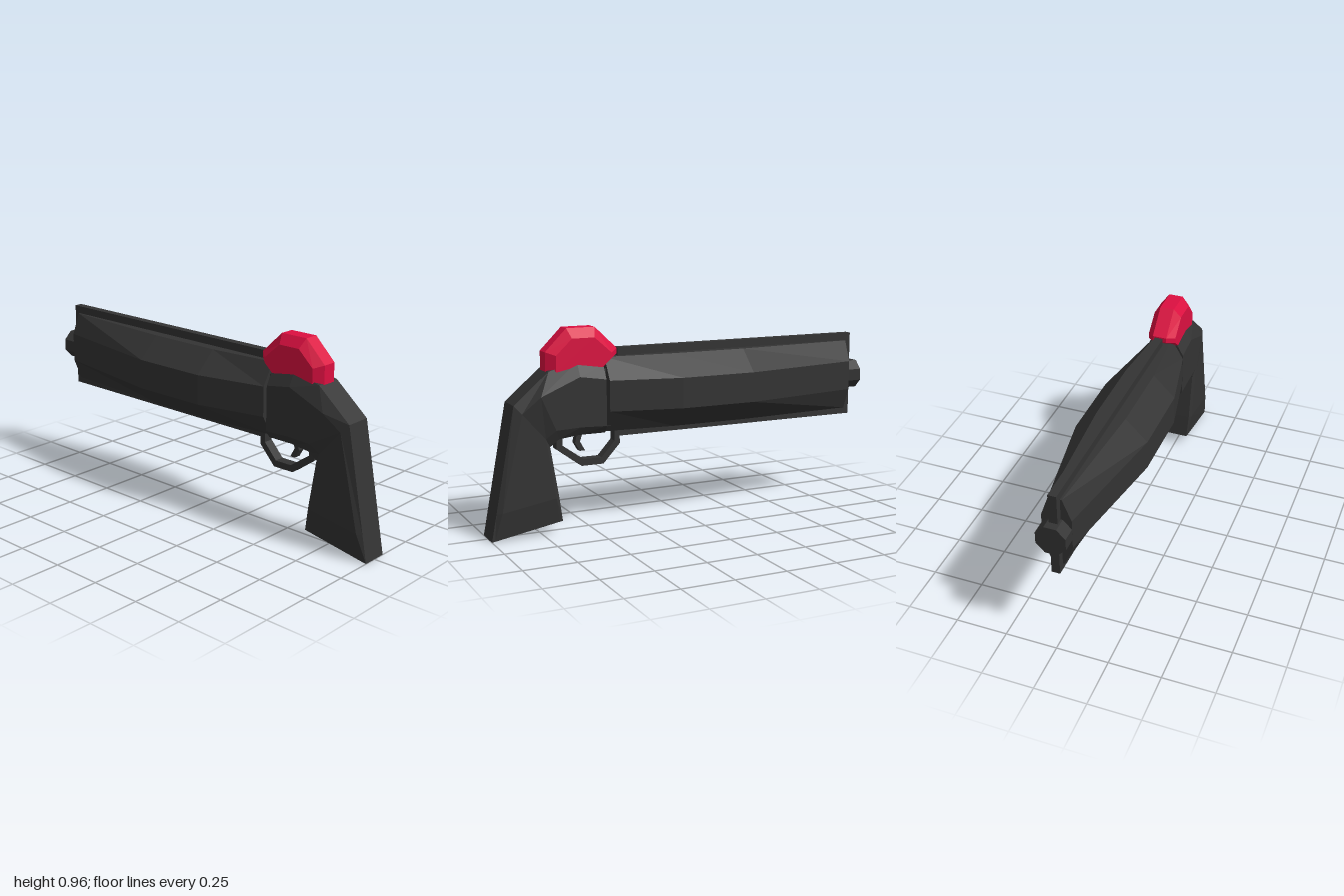
import * as THREE from 'three';

// Closed flat-shaded loft through convex rings of [x, y, z]; flips itself outward if needed
function loft(rings) {
  const n = rings[0].length, tris = [];
  for (let i = 0; i < rings.length - 1; i++) {
    for (let j = 0; j < n; j++) {
      const k = (j + 1) % n, a = rings[i], b = rings[i + 1];
      tris.push([a[j], a[k], b[k]], [a[j], b[k], b[j]]);
    }
  }
  const first = rings[0], last = rings[rings.length - 1];
  for (let j = 1; j < n - 1; j++) {
    tris.push([first[0], first[j + 1], first[j]], [last[0], last[j], last[j + 1]]);
  }
  const v = (p) => new THREE.Vector3(...p);
  let volume = 0;
  for (const [a, b, c] of tris) volume += v(a).dot(v(b).cross(v(c)));
  if (volume < 0) tris.forEach((t) => t.reverse());
  const geo = new THREE.BufferGeometry();
  geo.setAttribute('position', new THREE.Float32BufferAttribute(tris.flat(2), 3));
  geo.computeVertexNormals();
  return geo;
}

// Extrudes a [z, y] outline across x, centred on the middle plane
function sidePlate(outline, width, hole) {
  const points = (list) => list.map(([z, y]) => new THREE.Vector2(-z, y));
  const shape = new THREE.Shape(points(outline));
  if (hole) shape.holes.push(new THREE.Path(points(hole)));
  const geo = new THREE.ExtrudeGeometry(shape, { depth: width, bevelEnabled: false });
  geo.translate(0, 0, -width / 2);
  geo.rotateY(Math.PI / 2);
  return geo;
}

export function createModel() {
  const group = new THREE.Group();
  const dark = new THREE.MeshStandardMaterial({ color: 0x333333, flatShading: true });
  dark.name = 'charcoal';
  const red = new THREE.MeshStandardMaterial({ color: 0xdc0f40, flatShading: true });
  red.name = 'crimson';
  const add = (name, geo, mat = dark) => {
    const mesh = new THREE.Mesh(geo, mat);
    mesh.name = name;
    group.add(mesh);
    return mesh;
  };
  const box = (name, w, y0, y1, z0, z1) =>
    add(name, new THREE.BoxGeometry(w, y1 - y0, z1 - z0)).position.set(0, (y0 + y1) / 2, (z0 + z1) / 2);

  // Barrel shroud: octagon that swells and tapers in width only
  const shroud = [[0.425, 0.104], [0.08, 0.177], [-0.3, 0.177], [-0.93, 0.07]].map(([z, w]) => {
    const t = w * 0.4;
    return [
      [t, 0.817, z], [w, 0.713, z], [w, 0.567, z], [t, 0.463, z],
      [-t, 0.463, z], [-w, 0.567, z], [-w, 0.713, z], [-t, 0.817, z],
    ];
  });
  add('barrelShroud', loft(shroud));

  // Thin rib above and below the barrel, and the hidden joint behind it
  box('barrelRib', 0.04, 0.43, 0.855, -0.963, 0.35);
  box('joint', 0.12, 0.49, 0.765, 0.38, 0.48);

  // Octagonal muzzle
  const muzzle = new THREE.CylinderGeometry(0.0755, 0.0755, 0.075, 8);
  muzzle.rotateY(Math.PI / 8).rotateX(Math.PI / 2);
  add('muzzle', muzzle).position.set(0, 0.64, -0.9625);

  // Receiver curving down into the grip: back, upper, lower and inner corners as [z, y, half width]
  const sections = [
    [[0.44, 0.785, 0.063], [0.44, 0.72, 0.1], [0.44, 0.5, 0.1], [0.44, 0.465, 0.075]],
    [[0.57, 0.805, 0.063], [0.57, 0.74, 0.1], [0.57, 0.505, 0.1], [0.57, 0.465, 0.075]],
    [[0.71, 0.77, 0.065], [0.76, 0.66, 0.1], [0.69, 0.5, 0.1], [0.67, 0.455, 0.08]],
    [[0.88, 0.625, 0.065], [0.845, 0.585, 0.08], [0.735, 0.46, 0.08], [0.712, 0.42, 0.07]],
    [[0.975, 0.13, 0.065], [0.95, 0.134, 0.08], [0.69, 0.176, 0.08], [0.673, 0.18, 0.07]],
    [[1, 0, 0.065], [0.985, 0.003, 0.066], [0.675, 0.057, 0.066], [0.655, 0.06, 0.065]],
  ];
  add('receiverAndGrip', loft(sections.map((s) => [
    ...s.map(([z, y, w]) => [w, y, z]),
    ...s.map(([z, y, w]) => [-w, y, z]).reverse(),
  ])));

  // Red hammer hump with chamfered sides
  const outer = [[0.715, 0.765], [0.715, 0.855], [0.61, 0.96], [0.47, 0.96], [0.36, 0.855], [0.36, 0.83], [0.44, 0.76]];
  const inner = [[0.675, 0.765], [0.675, 0.84], [0.595, 0.915], [0.485, 0.915], [0.4, 0.84], [0.4, 0.815], [0.455, 0.765]];
  const ring = (outline, x) => outline.map(([z, y]) => [x, y, z]);
  add('hammerHump', loft([ring(inner, -0.07), ring(outer, -0.035), ring(outer, 0.035), ring(inner, 0.07)]), red);

  // Trigger guard and trigger
  add('triggerGuard', sidePlate(
    [[0.665, 0.48], [0.665, 0.395], [0.54, 0.303], [0.43, 0.303], [0.345, 0.395], [0.345, 0.48]], 0.05,
    [[0.635, 0.465], [0.635, 0.41], [0.53, 0.335], [0.44, 0.335], [0.372, 0.41], [0.372, 0.465]],
  ));
  add('trigger', sidePlate(
    [[0.555, 0.48], [0.57, 0.415], [0.547, 0.375], [0.52, 0.375], [0.545, 0.42], [0.525, 0.48]], 0.035,
  ));
  return group;
}
